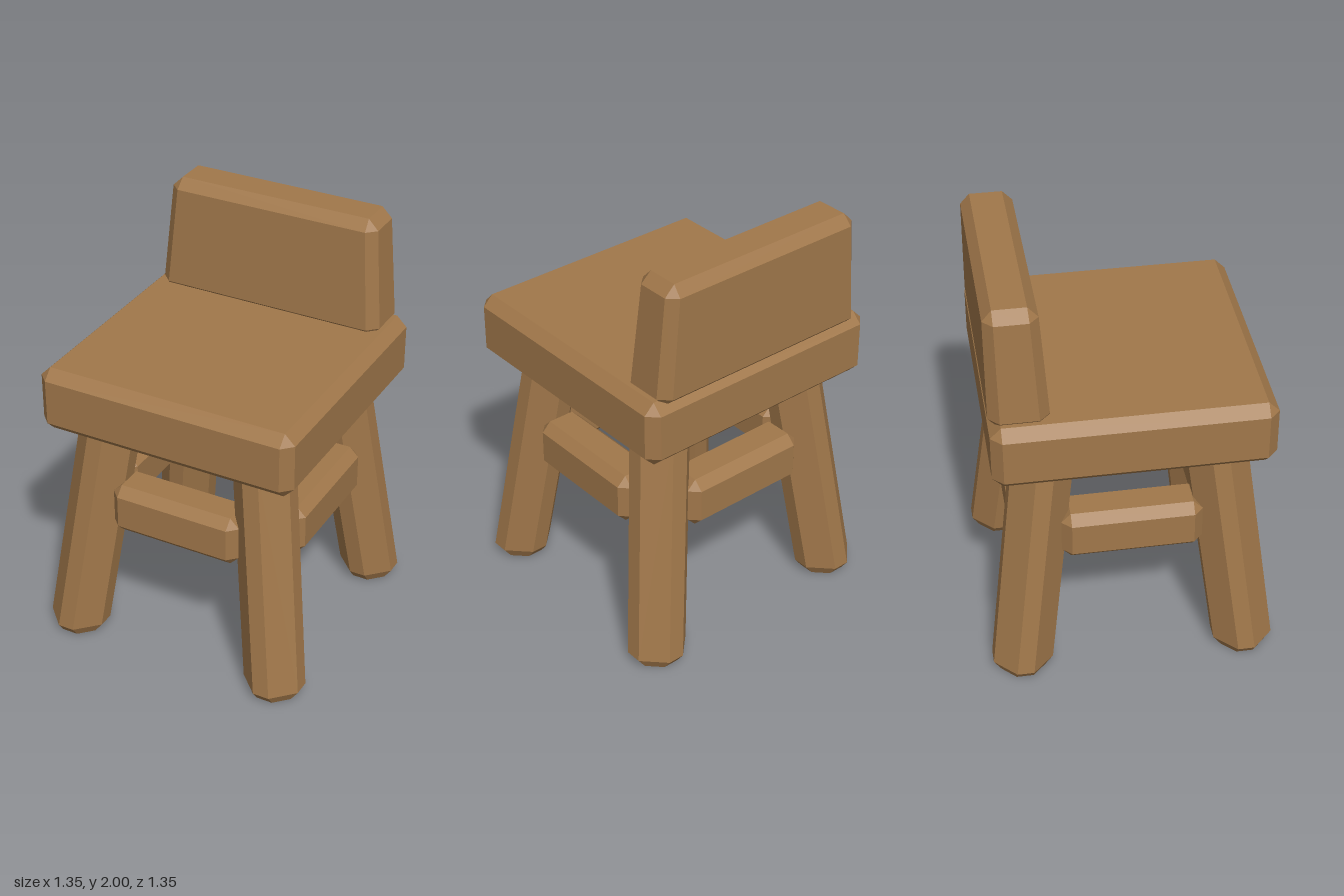
import * as THREE from 'three';
import { ConvexGeometry } from 'three/addons/geometries/ConvexGeometry.js';

const wood = new THREE.MeshStandardMaterial({ color: 0xa0774a, flatShading: true });
const SIGNS = [-1, 1];

function hull(name, points) {
  const mesh = new THREE.Mesh(new ConvexGeometry(points), wood);
  mesh.name = name;
  return mesh;
}

// Corner points of a box with every edge bevelled; c is the bevel size
function bevelledBox(w, h, d, c) {
  const half = [w / 2, h / 2, d / 2];
  const points = [];
  for (const sx of SIGNS) for (const sy of SIGNS) for (const sz of SIGNS) {
    for (let axis = 0; axis < 3; axis++) {
      const p = half.map((v, i) => (i === axis ? v : v - c));
      points.push(new THREE.Vector3(p[0] * sx, p[1] * sy, p[2] * sz));
    }
  }
  return points;
}

// Square outline with cut corners around (cx, cz) at height y
function octagon(cx, y, cz, r, flat) {
  const points = [];
  for (const sx of SIGNS) for (const sz of SIGNS) {
    points.push(new THREE.Vector3(cx + sx * r, y, cz + sz * flat));
    points.push(new THREE.Vector3(cx + sx * flat, y, cz + sz * r));
  }
  return points;
}

export function createModel() {
  const chair = new THREE.Group();
  chair.name = 'chair';

  // Thick square seat
  const seat = hull('seat', bevelledBox(1.28, 0.32, 1.28, 0.05));
  seat.position.y = 1.3;
  chair.add(seat);

  // Backrest: narrows upward at the sides and front, upright behind
  const backPoints = bevelledBox(1.16, 0.58, 0.276, 0.05);
  for (const p of backPoints) {
    const t = (p.y + 0.29) / 0.58;
    p.x *= 1 - 0.088 * t;
    p.z = -0.641 + (p.z + 0.138) * (1 - 0.14 * t);
    p.y += 1.71;
  }
  chair.add(hull('backrest', backPoints));

  // Splayed eight-sided legs with bevelled feet
  for (const sx of SIGNS) for (const sz of SIGNS) {
    const ring = (y, r) => {
      const c = 0.54 - 0.125 * y;
      return octagon(sx * c, y, sz * c, r, 0.04);
    };
    const name = (sz > 0 ? 'front' : 'back') + (sx > 0 ? 'Left' : 'Right') + 'Leg';
    chair.add(hull(name, [
      ...octagon(sx * 0.535, 0, sz * 0.535, 0.105, 0.04),
      ...ring(0.05, 0.142),
      ...ring(1.2, 0.142),
    ]));
  }

  // Four stretchers between the legs
  ['front', 'left', 'back', 'right'].forEach((side, i) => {
    const bar = hull(side + 'Stretcher', bevelledBox(0.66, 0.25, 0.22, 0.045));
    bar.position.set(0, 0.745, 0.445);
    const pivot = new THREE.Group();
    pivot.name = side + 'StretcherPivot';
    pivot.rotation.y = i * Math.PI / 2;
    pivot.add(bar);
    chair.add(pivot);
  });

  return chair;
}
